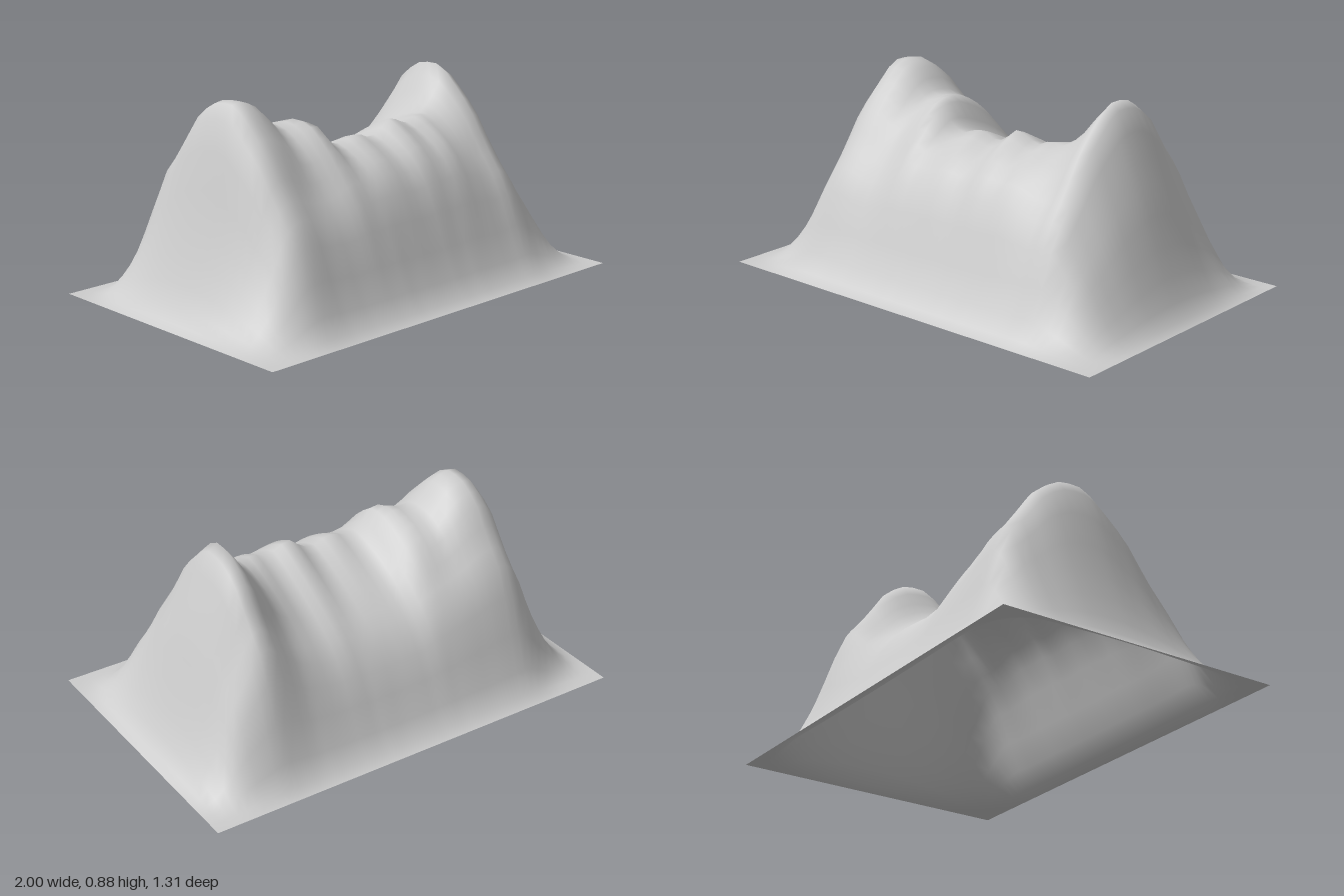
import * as THREE from 'three';

const HALF_Z = 0.655;

// Broad height of the ridge along x, without crags
const body = [[-1, 0], [-0.96, 0.018], [-0.9, 0.1], [-0.85, 0.22], [-0.8, 0.36], [-0.75, 0.53], [-0.7, 0.72],
  [-0.66, 0.83], [-0.61, 0.88], [-0.5, 0.84], [-0.3, 0.75], [-0.1, 0.68], [0.1, 0.67], [0.3, 0.69],
  [0.42, 0.73], [0.5, 0.79], [0.58, 0.87], [0.62, 0.86], [0.66, 0.78], [0.7, 0.67], [0.75, 0.55], [0.8, 0.4],
  [0.85, 0.25], [0.9, 0.12], [0.95, 0.03], [1, 0]];
// Crags added to the crest
const crags = [[-0.62, 0], [-0.58, 0.005], [-0.5, 0.01], [-0.42, -0.035], [-0.37, -0.02], [-0.3, 0.04],
  [-0.25, 0.045], [-0.2, -0.015], [-0.13, -0.035], [-0.08, -0.01], [-0.02, 0.005], [0.05, -0.02], [0.1, -0.01],
  [0.17, 0.04], [0.22, 0.02], [0.29, -0.015], [0.35, 0], [0.42, -0.02], [0.5, -0.01], [0.58, 0.01], [0.62, 0]];
// Cross-sections from back to front, as a share of the crest height
const peakSection = [[-0.655, 0], [-0.6, 0.028], [-0.546, 0.13], [-0.491, 0.32], [-0.437, 0.51], [-0.382, 0.655],
  [-0.327, 0.73], [-0.273, 0.815], [-0.218, 0.905], [-0.164, 0.955], [-0.109, 0.99], [0, 1], [0.055, 0.97],
  [0.109, 0.915], [0.164, 0.855], [0.218, 0.785], [0.273, 0.69], [0.327, 0.6], [0.382, 0.52], [0.437, 0.41],
  [0.491, 0.26], [0.546, 0.115], [0.6, 0.028], [0.655, 0]];
const saddleSection = [[-0.655, 0], [-0.6, 0.03], [-0.546, 0.14], [-0.491, 0.32], [-0.437, 0.47], [-0.382, 0.58],
  [-0.327, 0.66], [-0.218, 0.77], [-0.109, 0.86], [0, 0.94], [0.08, 0.99], [0.11, 1], [0.164, 0.97], [0.218, 0.93],
  [0.273, 0.88], [0.327, 0.81], [0.382, 0.7], [0.437, 0.53], [0.491, 0.32], [0.546, 0.14], [0.6, 0.03], [0.655, 0]];

// Smooth curve through [position, value] pairs
function sample(table, t) {
  const n = table.length - 1;
  let i = 0;
  while (i < n - 1 && t > table[i + 1][0]) i++;
  const slope = (k) => {
    const a = table[Math.max(k - 1, 0)], b = table[Math.min(k + 1, n)];
    return (b[1] - a[1]) / (b[0] - a[0]);
  };
  const [x0, y0] = table[i], [x1, y1] = table[i + 1];
  const w = x1 - x0, s = Math.min(Math.max((t - x0) / w, 0), 1), r = 1 - s;
  return y0 * (1 + 2 * s) * r * r + y1 * s * s * (3 - 2 * s) + w * s * r * (r * slope(i) - s * slope(i + 1));
}

const { smoothstep, lerp } = THREE.MathUtils;

function heightAt(x, z) {
  const saddle = smoothstep(x, -0.5, -0.05) * (1 - smoothstep(x, 0.3, 0.6));
  const q = lerp(sample(peakSection, z), sample(saddleSection, z), saddle);

  // Crags fade into shallow gullies down the flanks
  const inner = 1 - smoothstep(Math.abs(x), 0.45, 0.7);
  const gully = 0.008 * inner * q * (1 - q) * (Math.sin(x * 43 + z * 3) + Math.sin(x * 61 - z * 5));
  return Math.max(sample(body, x) * q + sample(crags, x) * q ** 4 + gully, 0);
}

export function createModel() {
  const rock = new THREE.MeshStandardMaterial({ color: 0xcccccc, side: THREE.DoubleSide });
  rock.name = 'grey rock';

  // Open sheet raised into a ridge
  const geometry = new THREE.PlaneGeometry(2, 2 * HALF_Z, 48, 24);
  geometry.rotateX(-Math.PI / 2);
  const pos = geometry.attributes.position;
  for (let i = 0; i < pos.count; i++) pos.setY(i, heightAt(pos.getX(i), pos.getZ(i)));
  geometry.computeVertexNormals();

  const ridge = new THREE.Mesh(geometry, rock);
  ridge.name = 'mountainRidge';
  const group = new THREE.Group();
  group.name = 'mountain';
  group.add(ridge);
  return group;
}
